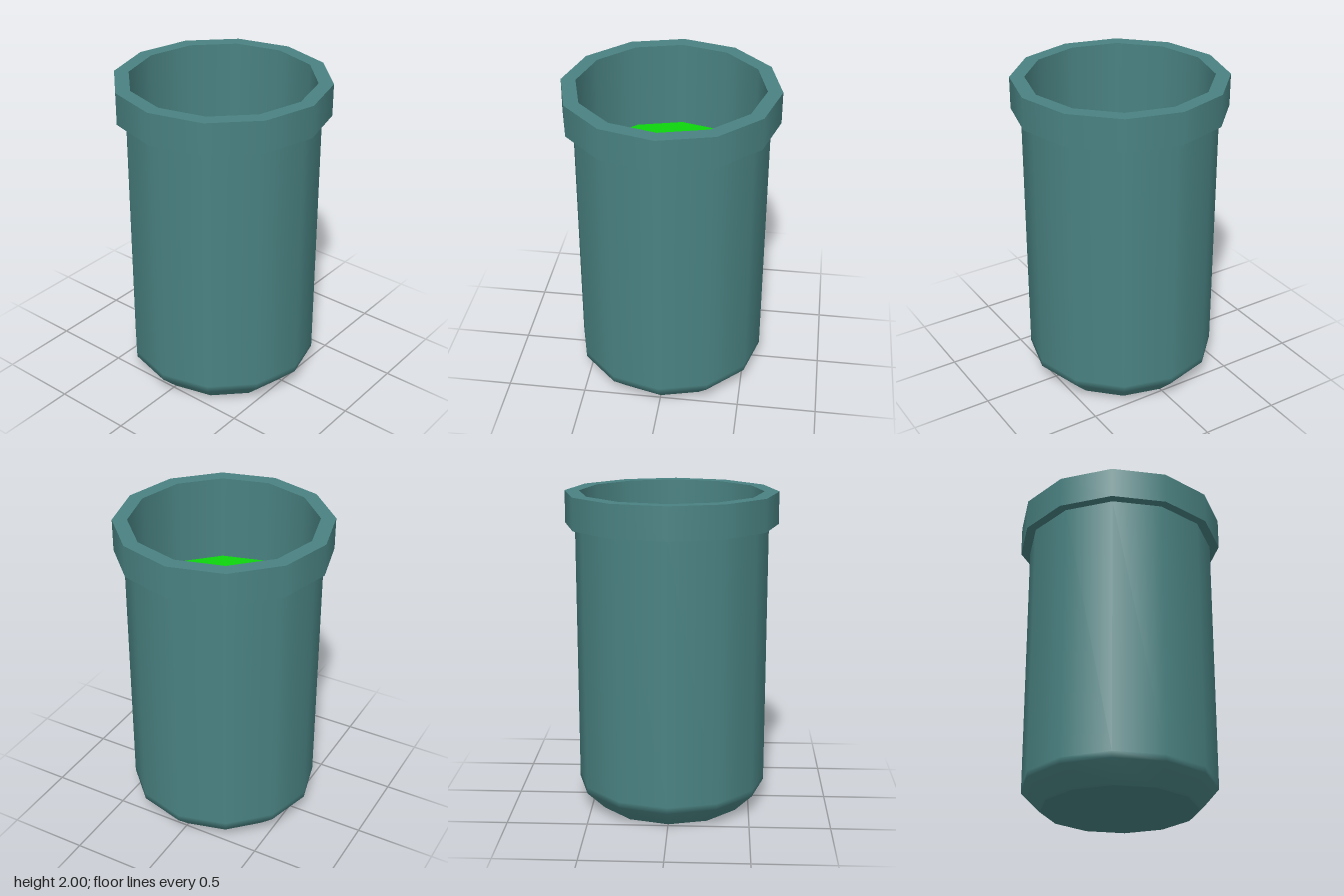
import * as THREE from 'three';

const SIDES = 12;

export function createModel() {
  const group = new THREE.Group();
  group.name = 'container';
  const shell = new THREE.MeshStandardMaterial({ color: 0x4a8282, side: THREE.DoubleSide });
  const green = new THREE.MeshStandardMaterial({ color: 0x0dd40d });

  // Each turned section has its own normals, so edges between sections stay sharp
  const turn = (name, points) => {
    const profile = points.map(([r, y]) => new THREE.Vector2(r, y));
    const mesh = new THREE.Mesh(new THREE.LatheGeometry(profile, SIDES), shell);
    mesh.name = name;
    group.add(mesh);
  };

  // Body with a softly shaded chamfer at the foot
  turn('base', [[0, 0], [0.48, 0]]);
  turn('body', [[0.48, 0], [0.6, 0.12], [0.6, 0.16], [0.6, 1.8]]);

  // Overhanging rim
  turn('rimUnderside', [[0.6, 1.8], [0.66, 1.8]]);
  turn('rimOuter', [[0.66, 1.8], [0.66, 2]]);
  turn('rimTop', [[0.66, 2], [0.57, 2]]);

  // Hollow inside
  turn('innerWall', [[0.57, 2], [0.57, 0.12]]);
  turn('innerFloor', [[0.57, 0.12], [0, 0.12]]);

  // Green filling
  const filling = new THREE.Mesh(new THREE.CircleGeometry(0.57, SIDES), green);
  filling.name = 'filling';
  filling.rotation.x = -Math.PI / 2;
  filling.position.y = 1.45;
  group.add(filling);

  return group;
}
